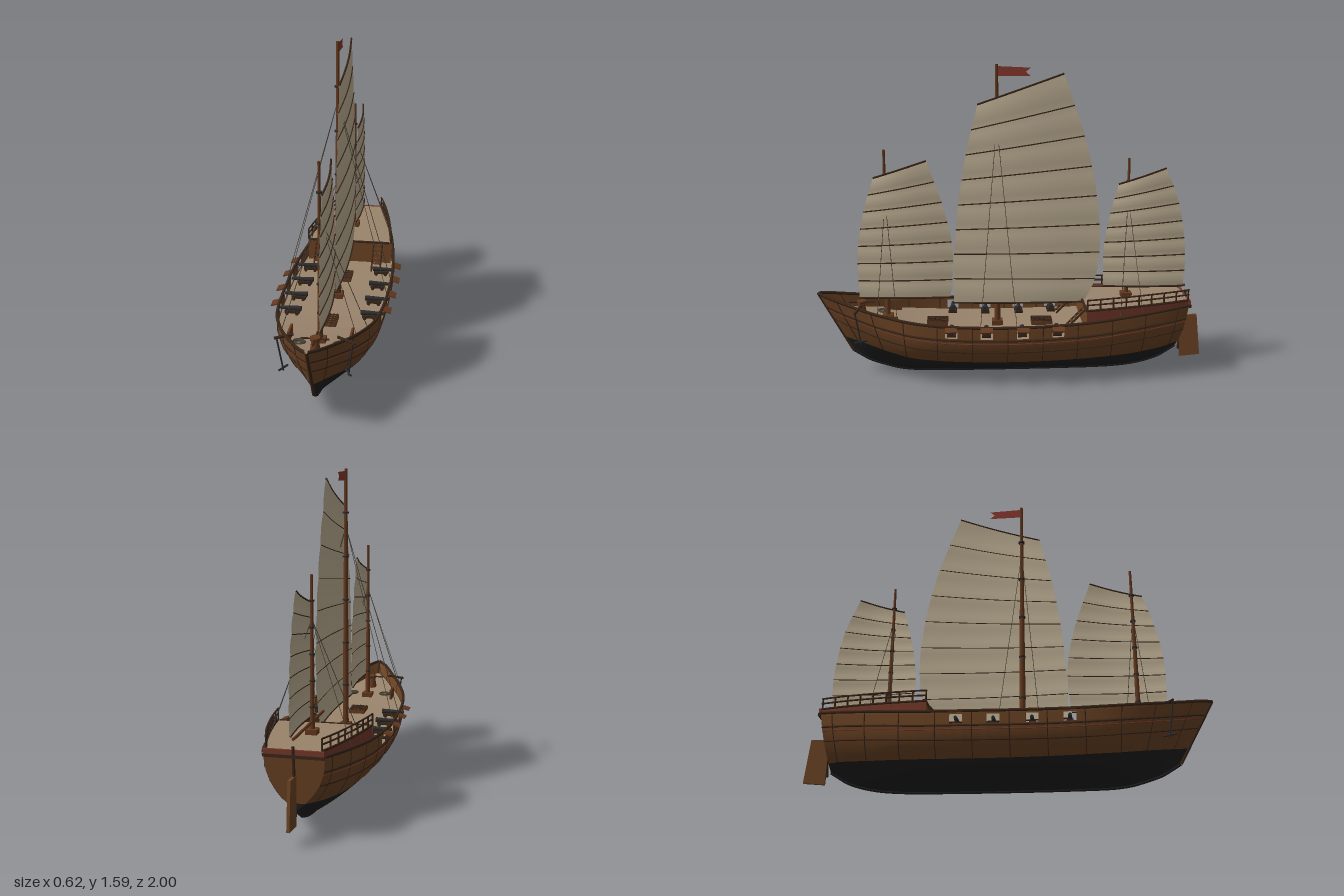
import * as THREE from 'three';

const mat = (name, color, side = THREE.FrontSide) => {
  const m = new THREE.MeshStandardMaterial({ color, side });
  m.name = name;
  return m;
};
const V = (x, y, z) => new THREE.Vector3(x, y, z);

// Smooth interpolation through [position, value] pairs
function curve(pts) {
  const slope = i => {
    const a = pts[Math.max(i - 1, 0)], b = pts[Math.min(i + 1, pts.length - 1)];
    return (b[1] - a[1]) / (b[0] - a[0]);
  };
  return s => {
    let i = 0;
    while (i < pts.length - 2 && s > pts[i + 1][0]) i++;
    const [x0, y0] = pts[i], [x1, y1] = pts[i + 1], h = x1 - x0, t = (s - x0) / h;
    const t2 = t * t, t3 = t2 * t;
    return y0 * (2 * t3 - 3 * t2 + 1) + y1 * (3 * t2 - 2 * t3)
      + h * (slope(i) * (t3 - 2 * t2 + t) + slope(i + 1) * (t3 - t2));
  };
}

// Hull lines along the length
const beam = curve([[-.91, .135], [-.8, .168], [-.6, .212], [-.4, .243], [-.2, .262], [0, .268], [.3, .258], [.5, .232], [.7, .172], [.85, .1], [.95, .042], [.99, .004]]);
const railY = curve([[-.91, .38], [-.6, .35], [-.37, .33], [0, .318], [.3, .322], [.5, .337], [.7, .365], [.85, .395], [.99, .43]]);
const keelY = curve([[-.91, .12], [-.8, .06], [-.6, .02], [-.3, .008], [.4, .007], [.65, .02], [.8, .045], [.9, .07], [.99, .12]]);
const paintY = curve([[-.91, .155], [-.6, .13], [0, .112], [.5, .13], [.99, .195]]);
const fullness = curve([[-.91, 2.4], [-.4, 3], [.4, 3], [.99, 1.7]]);
const poopY = s => .385 - (s + .37) * .03;
const deckY = s => railY(s) - .066;

function hullPoint(s, y, side, out = 0) {
  const t = THREE.MathUtils.clamp((y - keelY(s)) / (railY(s) - keelY(s)), 0, 1);
  const x = beam(s) * (1 - Math.pow(1 - t, fullness(s))) + out;
  const rise = THREE.MathUtils.clamp((y - .12) / .31, -.3, 1);
  let z = s;
  if (s > .5) z = .5 + (s - .5) * (.65 + .35 * rise);
  if (s < -.6) z = -.6 + (s + .6) * (.86 + .14 * rise);
  return V(side * x, y, z);
}

// Surface through rows of points
function grid(rows, skip = () => false) {
  const n = rows[0].length, idx = [];
  for (let i = 0; i < rows.length - 1; i++) for (let j = 0; j < n - 1; j++) {
    if (skip(i, j)) continue;
    const a = i * n + j;
    idx.push(a, a + 1, a + n, a + 1, a + n + 1, a + n);
  }
  const g = new THREE.BufferGeometry().setFromPoints(rows.flat());
  g.setIndex(idx);
  g.computeVertexNormals();
  return g;
}

export function createModel() {
  const D = THREE.DoubleSide;
  const M = {
    hull: mat('hull brown', 0x6e4525, D), bottom: mat('bottom black', 0x202020, D),
    deck: mat('deck planks', 0x9a846c, D), sail: mat('sail canvas', 0xc3b498, D),
    trim: mat('dark timber', 0x3a2619), wood: mat('mast wood', 0x63391f),
    iron: mat('iron', 0x2b2c2e), red: mat('flag red', 0x8c3a30, D),
    rope: mat('rope', 0x4a4236), oxide: mat('faded red paint', 0x74382a, D),
  };
  const root = new THREE.Group();
  const add = (name, geo, m) => {
    const o = new THREE.Mesh(geo, m);
    o.name = name;
    root.add(o);
    return o;
  };
  const box = (name, w, h, d, x, y, z, m) => {
    const o = add(name, new THREE.BoxGeometry(w, h, d), m);
    o.position.set(x, y, z);
    return o;
  };
  const rod = (name, a, b, r0, r1, m, sides = 6) => {
    const dir = b.clone().sub(a);
    const o = add(name, new THREE.CylinderGeometry(r1, r0, dir.length(), sides), m);
    o.position.copy(a).addScaledVector(dir, .5);
    o.quaternion.setFromUnitVectors(V(0, 1, 0), dir.normalize());
    return o;
  };
  const tube = (name, pts, r, m, seg = 48) =>
    add(name, new THREE.TubeGeometry(new THREE.CatmullRomCurve3(pts), seg, r, 5), m);

  // Stations, with edges at the gun ports
  const ports = [.305, .13, -.05, -.225], pw = .03;
  const S = [];
  for (let i = 0; i <= 48; i++) S.push(-.91 + 1.9 * i / 48);
  ports.forEach(p => S.push(p - pw, p + pw));
  S.sort((a, b) => a - b);
  const inPort = i => ports.some(p => Math.abs((S[i] + S[i + 1]) / 2 - p) < pw);
  const band = (lo, hi, n, side) => S.map(s => Array.from({ length: n + 1 }, (_, j) =>
    hullPoint(s, THREE.MathUtils.lerp(lo(s), hi(s), j / n), side)));
  const sill = s => railY(s) - .06, lintel = s => railY(s) - .016;
  const line = (a, b, f, n = 40) => Array.from({ length: n + 1 }, (_, i) => f(a + (b - a) * i / n));

  for (const side of [-1, 1]) {
    // Planking
    add('hullBottom', grid(band(keelY, paintY, 8, side)), M.bottom);
    add('hullSide', grid(band(paintY, sill, 6, side)), M.hull);
    add('bulwark', grid(band(sill, lintel, 1, side), inPort), M.hull);
    add('bulwarkTop', grid(band(lintel, railY, 1, side)), M.hull);
    // Wales, rail cap and frames
    tube('railCap', line(-.91, .99, s => hullPoint(s, railY(s), side)), .008, M.trim, 80);
    tube('upperWale', line(-.91, .985, s => hullPoint(s, railY(s) - .07, side)), .005, M.trim, 80);
    tube('redStripe', line(-.91, .985, s => hullPoint(s, railY(s) - .088, side)), .003, M.oxide, 80);
    tube('lowerWale', line(-.91, .985, s => hullPoint(s, railY(s) - .135, side)), .004, M.trim, 80);
    for (let s = -.85; s < .95; s += .175)
      tube('hullFrame', line(0, 1, t => hullPoint(s, THREE.MathUtils.lerp(paintY(s), railY(s), t), side), 8), .0028, M.trim, 10);

    // Poop wall and railing
    const px = s => side * (beam(s) - .014);
    add('poopWall', grid(line(-.91, -.37, s => [V(px(s), railY(s) - .01, s), V(px(s), poopY(s), s)], 12)), M.oxide);
    for (const h of [.004, .033, .058])
      tube('poopRail', line(-.905, -.37, s => V(px(s), poopY(s) + h, s), 10), h < .01 ? .006 : .0045, M.trim, 20);
    for (let i = 0; i <= 8; i++) {
      const s = -.9 + i * .066;
      rod('railPost', V(px(s), poopY(s), s), V(px(s), poopY(s) + .06, s), .0045, .0045, M.trim);
    }

    // Ladder to the poop
    for (const x of [.137, .185])
      rod('ladderRail', V(side * x, .262, -.25), V(side * x, .39, -.375), .005, .005, M.trim);
    for (let i = 0; i < 6; i++)
      box('ladderStep', .048, .005, .016, side * .161, .276 + i * .02, -.264 - i * .0195, M.wood);

    // Guns and port lids
    for (const z of ports) {
      const y = deckY(z);
      box('gunCarriage', .075, .014, .032, side * .195, y + .016, z, M.trim);
      for (const dx of [-.025, .025])
        rod('carriageWheels', V(side * .195 + dx, y + .009, z - .022), V(side * .195 + dx, y + .009, z + .022), .009, .009, M.trim, 8);
      rod('gunBarrel', V(side * .15, y + .032, z), V(side * .268, y + .032, z), .013, .008, M.iron, 10);
      const lid = box('portLid', .048, .006, .06, side * (beam(z) + .019), .314, z, M.wood);
      lid.rotation.z = -side * .3;
    }

    // Catheads, anchors, bitts and rope coils at the bow
    rod('cathead', V(side * .1, .39, .76), V(side * .185, .375, .785), .007, .007, M.trim);
    rod('anchorShank', V(side * .172, .37, .785), V(side * .15, .2, .76), .004, .004, M.iron);
    rod('anchorArms', V(side * .135, .215, .735), V(side * .165, .215, .79), .005, .005, M.iron);
    box('bitt', .01, .055, .09, side * .145, deckY(.62) + .03, .62, M.wood);
    for (const r of [.028, .017]) {
      const coil = add('ropeCoil', new THREE.TorusGeometry(r, .006, 5, 16), M.rope);
      coil.rotation.x = Math.PI / 2;
      coil.position.set(side * .095, deckY(.67) + .007, .67);
    }
  }

  // Keel, stem, transom and decks
  tube('keel', line(-.91, .99, s => hullPoint(s, keelY(s), 1)), .007, M.bottom, 70);
  tube('stem', line(0, 1, t => hullPoint(.99, .12 + .31 * t, 0), 8), .008, M.trim, 12);
  const transom = (name, y0, y1, m) => add(name, grid(line(y0, y1, y => [hullPoint(-.91, y, -1), hullPoint(-.91, y, 1)], 8)), m);
  transom('transomBottom', .12, .155, M.bottom);
  transom('transom', .155, .38, M.hull);
  box('transomTop', .27, .028, .012, 0, .39, -.908, M.oxide);
  box('transomBeam', .275, .014, .014, 0, .375, -.91, M.trim);
  const deckRow = (s, y, inset) => {
    const w = Math.max(hullPoint(s, Math.min(y, railY(s)), 1).x - inset, .001);
    const z = hullPoint(s, y, 1).z;
    return [V(-w, y, z), V(w, y, z)];
  };
  add('mainDeck', grid(line(-.4, .985, s => deckRow(s, deckY(s), .002))), M.deck);
  add('poopDeck', grid(line(-.91, -.37, s => deckRow(s, poopY(s), .012), 14)), M.deck);
  add('poopBulkhead', grid([deckRow(-.37, .26, .012), deckRow(-.37, .385, .012)]), M.hull);
  box('poopEdge', .45, .01, .01, 0, .384, -.37, M.trim);

  // Rudder with tiller
  const blade = new THREE.Shape([[-.885, .285], [-.977, .29], [-1, .07], [-.893, .06]].map(p => new THREE.Vector2(-p[0], p[1])));
  const rg = new THREE.ExtrudeGeometry(blade, { depth: .014, bevelEnabled: false });
  rg.rotateY(Math.PI / 2);
  rg.translate(-.007, 0, 0);
  add('rudder', rg, M.hull);
  rod('rudderPost', V(0, .1, -.885), V(0, .42, -.915), .007, .007, M.trim);
  rod('mizzenBoom', V(0, .45, -.91), V(0, .45, -.4), .007, .007, M.wood);

  // Hatches with gratings
  for (const z of [-.16, .38]) {
    const y = deckY(z);
    box('hatch', .085, .02, .108, 0, y + .01, z, M.wood);
    for (let i = -2; i <= 2; i++) {
      box('hatchSlat', .085, .004, .005, 0, y + .022, z + i * .022, M.trim);
      box('hatchSlat', .005, .004, .108, i * .018, y + .022, z, M.trim);
    }
  }

  // Capstan
  const cy = deckY(.77);
  rod('capstan', V(0, cy, .77), V(0, cy + .06, .77), .026, .017, M.wood, 10);
  rod('capstanHead', V(0, cy + .06, .77), V(0, cy + .075, .77), .024, .024, M.wood, 10);
  rod('capstanBar', V(-.065, cy + .067, .77), V(.065, cy + .067, .77), .004, .004, M.trim);
  rod('capstanBar', V(0, cy + .067, .705), V(0, cy + .067, .835), .004, .004, M.trim);

  // Masts with shrouds
  const masts = [
    { z: .635, top: 1.17, r: .013, base: deckY(.635), apex: .92, spread: .055 },
    { z: .07, top: 1.59, r: .016, base: deckY(.07), apex: 1.3, spread: .09 },
    { z: -.6, top: 1.12, r: .012, base: poopY(-.6), apex: .92, spread: .06 },
  ];
  for (const m of masts) {
    rod('mast', V(0, m.base, m.z), V(0, m.top, m.z), m.r, m.r * .5, M.wood, 10);
    box('mastCollar', .055, .025, .055, 0, m.base + .0125, m.z, M.wood);
    for (let i = 1; i < 6; i++) {
      const y = m.base + (m.top - m.base) * i / 6;
      rod('mastBand', V(0, y, m.z), V(0, y + .008, m.z), m.r * 1.05, m.r * 1.05, M.iron, 10);
    }
    for (const side of [-1, 1]) for (const d of [-1, 1])
      rod('shroud', V(0, m.apex, m.z), hullPoint(m.z + d * m.spread, railY(m.z), side), .0018, .0018, M.rope, 4);
  }

  // Battened sails: leading edge, trailing edge (z, y from foot to head), panels
  const sails = [
    [[[.295, .375], [.29, .62], [.265, .9], [.225, 1.15], [.166, 1.394]],
      [[-.375, .372], [-.43, .48], [-.456, .665], [-.44, .906], [-.38, 1.2], [-.263, 1.544]], 8],
    [[[.777, .408], [.777, .665], [.74, .87], [.69, 1.03]],
      [[.31, .405], [.295, .585], [.305, .72], [.35, .906], [.424, 1.115]], 7],
    [[[-.477, .455], [-.477, .665], [-.51, .85], [-.547, .99]],
      [[-.893, .452], [-.9, .585], [-.89, .72], [-.853, .906], [-.788, 1.07]], 7],
  ];
  for (const [lead, trail, n] of sails) {
    const [a, b] = [lead, trail].map(p => new THREE.CatmullRomCurve3(p.map(([z, y]) => V(0, y, z))));
    const row = (u, out = 0) => line(0, 1, t => {
      const p = a.getPointAt(u).lerp(b.getPointAt(u - .1 * u * (1 - u)), t);
      p.x = .018 + .012 * Math.sin(Math.PI * t) + .004 * Math.abs(Math.sin(Math.PI * n * u)) + out;
      return p;
    }, 12);
    add('sail', grid(line(0, 1, u => row(u), n * 4)), M.sail);
    for (let i = 0; i <= n; i++)
      tube('batten', row(i / n, .002), i === 0 || i === n ? .005 : .0032, M.trim, 14);
  }

  // Swallow-tailed pennant
  const flag = new THREE.ShapeGeometry(new THREE.Shape(
    [[-.07, 1.58], [.1, 1.572], [.075, 1.552], [.1, 1.53], [-.07, 1.532]].map(p => new THREE.Vector2(...p))));
  flag.rotateY(Math.PI / 2);
  add('flag', flag, M.red);
  return root;
}
